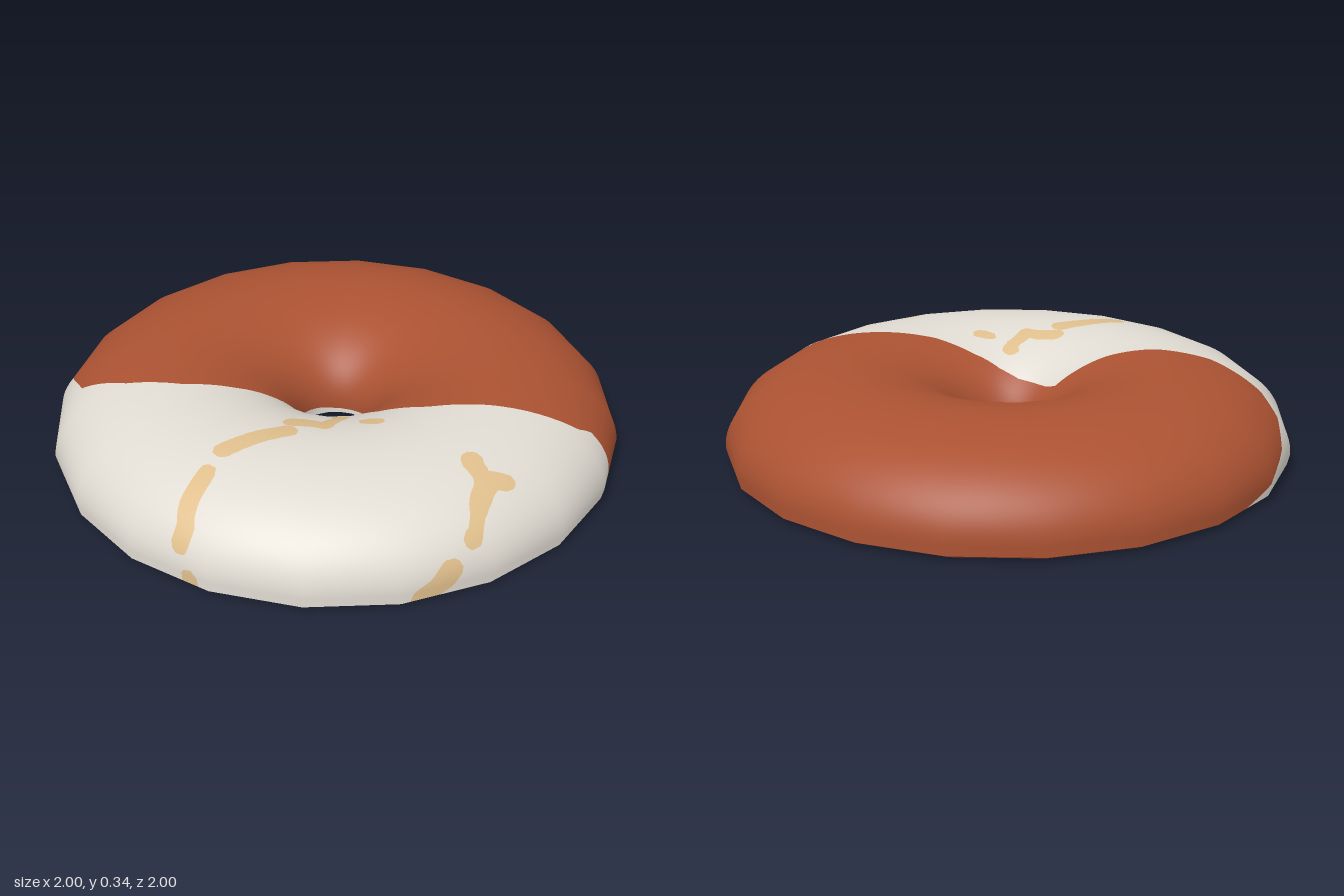
import * as THREE from 'three';

const SIDES = 20, SPLIT = 10;

// Edge of the pale coating: z as a function of x, on the top and on the underside
const TOP_EDGE = [[-1, 0.12], [-0.97, 0.18], [-0.9, 0.3], [-0.8, 0.4], [-0.6, 0.42], [-0.4, 0.375],
  [-0.25, 0.29], [-0.1, 0.17], [0, 0.19], [0.2, 0.18], [0.4, 0.15], [0.6, 0.07], [0.8, 0],
  [0.88, -0.04], [0.91, -0.09], [1, -0.11]];
const BOTTOM_EDGE = [[-0.98, -0.15], [-0.91, -0.25], [-0.78, -0.42], [-0.62, -0.57], [-0.38, -0.61],
  [-0.3, -0.46], [-0.2, -0.3], [-0.06, -0.25], [0.09, -0.28], [0.13, -0.18], [0.16, -0.09],
  [0.31, -0.02], [0.43, -0.11], [0.56, -0.06], [0.74, -0.02], [0.95, -0.04], [1, -0.13]];

// Drizzle centre lines on the surface
const DRIZZLE = [
  [[0.29, 0.3, 0.3], [0.2, 0.27, 0.3], [0.14, 0.26, 0.28]],
  [[0.16, 0.28, 0.31], [0.13, 0.31, 0.39], [0.03, 0.32, 0.41]],
  [[0.05, 0.335, 0.48], [-0.02, 0.34, 0.56], [-0.1, 0.33, 0.67]],
  [[-0.12, 0.315, 0.76], [-0.12, 0.27, 0.85], [-0.11, 0.2, 0.93], [-0.12, 0.15, 0.96]],
  [[-0.06, 0.045, 0.99], [-0.07, 0, 0.94], [0.1, 0, 0.77], [0.28, 0, 0.57]],
  [[0.64, 0.33, 0.36], [0.71, 0.28, 0.43], [0.73, 0.23, 0.52], [0.73, 0.18, 0.59]],
  [[0.71, 0.29, 0.4], [0.76, 0.27, 0.37]],
  [[0.7, 0.11, 0.68], [0.68, 0.06, 0.72], [0.63, 0.03, 0.76]],
];
const SEGMENTS = DRIZZLE.flatMap((line) => line.slice(1).map((p, i) =>
  new THREE.Line3(new THREE.Vector3(...line[i]), new THREE.Vector3(...p))));

function interpolate(table, x) {
  if (x <= table[0][0]) return table[0][1];
  for (let i = 1; i < table.length; i++) {
    const [x0, z0] = table[i - 1], [x1, z1] = table[i];
    if (x <= x1) return z0 + (z1 - z0) * (x - x0) / (x1 - x0);
  }
  return table[table.length - 1][1];
}

// Positive inside the pale coating
function coatingField(x, y, z) {
  const t = THREE.MathUtils.smoothstep(y, 0, 0.12);
  return z - THREE.MathUtils.lerp(interpolate(BOTTOM_EDGE, x), interpolate(TOP_EDGE, x), t);
}

// Positive inside the drizzle
const point = new THREE.Vector3(), nearest = new THREE.Vector3();
function drizzleField(x, y, z) {
  point.set(x, y, z);
  let distance = Infinity;
  for (const s of SEGMENTS) {
    s.closestPointToPoint(point, true, nearest);
    distance = Math.min(distance, nearest.distanceTo(point));
  }
  return 0.034 + 0.008 * Math.sin(43 * x + 31 * z) - distance;
}

// Ring cross-section as strips of [radius, y, normal radius, normal y]
function profileStrips() {
  const dome = [[0.14, 0.02, -1, 0]];
  for (let i = 0; i <= 48; i++) {
    const a = Math.PI * (1 - i / 48), c = Math.cos(a), s = Math.sin(a);
    const n = new THREE.Vector2(c / 0.435, s / 0.28).normalize();
    dome.push([0.565 + 0.435 * c, 0.06 + 0.28 * s, n.x, n.y]);
  }
  dome.push([0.99, 0.02, 1, 0]);
  const base = [];
  for (let i = 0; i <= 28; i++) base.push([0.95 - 0.77 * i / 28, 0, 0, -1]);
  return [
    dome,
    [[0.99, 0.02, 0.45, -0.89], [0.95, 0, 0.2, -0.98]],
    base,
    [[0.18, 0, -0.2, -0.98], [0.14, 0.02, -0.45, -0.89]],
  ];
}

// Part of a polygon where field k has the given sign
function clip(polygon, k, sign) {
  const out = [];
  polygon.forEach((a, i) => {
    const b = polygon[(i + 1) % polygon.length];
    const fa = a[k] * sign, fb = b[k] * sign;
    if (fa >= 0) out.push(a);
    if ((fa >= 0) !== (fb >= 0)) {
      const t = fa / (fa - fb);
      out.push(a.map((v, m) => v + (b[m] - v) * t));
    }
  });
  return out;
}

class Surface {
  constructor() { this.positions = []; this.normals = []; }
  add(polygon) {
    for (let i = 2; i < polygon.length; i++) {
      for (const v of [polygon[0], polygon[i - 1], polygon[i]]) {
        this.positions.push(v[0], v[1], v[2]);
        this.normals.push(v[3], v[4], v[5]);
      }
    }
  }
  mesh(name, material) {
    const geometry = new THREE.BufferGeometry();
    geometry.setAttribute('position', new THREE.Float32BufferAttribute(this.positions, 3));
    geometry.setAttribute('normal', new THREE.Float32BufferAttribute(this.normals, 3));
    geometry.normalizeNormals();
    const mesh = new THREE.Mesh(geometry, material);
    mesh.name = name;
    return mesh;
  }
}

export function createModel() {
  const dough = new Surface(), coating = new Surface(), drizzle = new Surface();

  // Directions around the twenty-sided ring, with straight sides subdivided
  const directions = [];
  for (let j = 0; j <= SIDES * SPLIT; j++) {
    const a = Math.floor(j / SPLIT) * 2 * Math.PI / SIDES, b = a + 2 * Math.PI / SIDES;
    const t = (j % SPLIT) / SPLIT;
    directions.push([
      THREE.MathUtils.lerp(Math.sin(a), Math.sin(b), t),
      THREE.MathUtils.lerp(Math.cos(a), Math.cos(b), t),
    ]);
  }

  // Sweep each strip round, cutting every triangle along the colour edges
  for (const strip of profileStrips()) {
    const rows = strip.map(([r, y, nr, ny]) => directions.map(([dx, dz]) => {
      const x = r * dx, z = r * dz;
      return [x, y, z, nr * dx, ny, nr * dz, coatingField(x, y, z), drizzleField(x, y, z)];
    }));
    for (let i = 0; i + 1 < rows.length; i++) {
      for (let j = 0; j + 1 < directions.length; j++) {
        const a = rows[i][j], b = rows[i + 1][j], c = rows[i + 1][j + 1], d = rows[i][j + 1];
        for (const triangle of [[a, b, c], [a, c, d]]) {
          dough.add(clip(triangle, 6, -1));
          const pale = clip(triangle, 6, 1);
          coating.add(clip(pale, 7, -1));
          drizzle.add(clip(pale, 7, 1));
        }
      }
    }
  }

  const material = (name, color) => {
    const m = new THREE.MeshStandardMaterial({ color });
    m.name = name;
    return m;
  };
  const ring = new THREE.Group();
  ring.name = 'ringPastry';
  ring.add(
    dough.mesh('brownDough', material('reddish brown', 0xab5232)),
    coating.mesh('paleCoating', material('cream white', 0xe0dbd2)),
    drizzle.mesh('caramelDrizzle', material('caramel', 0xdfbe8c)),
  );
  return ring;
}
